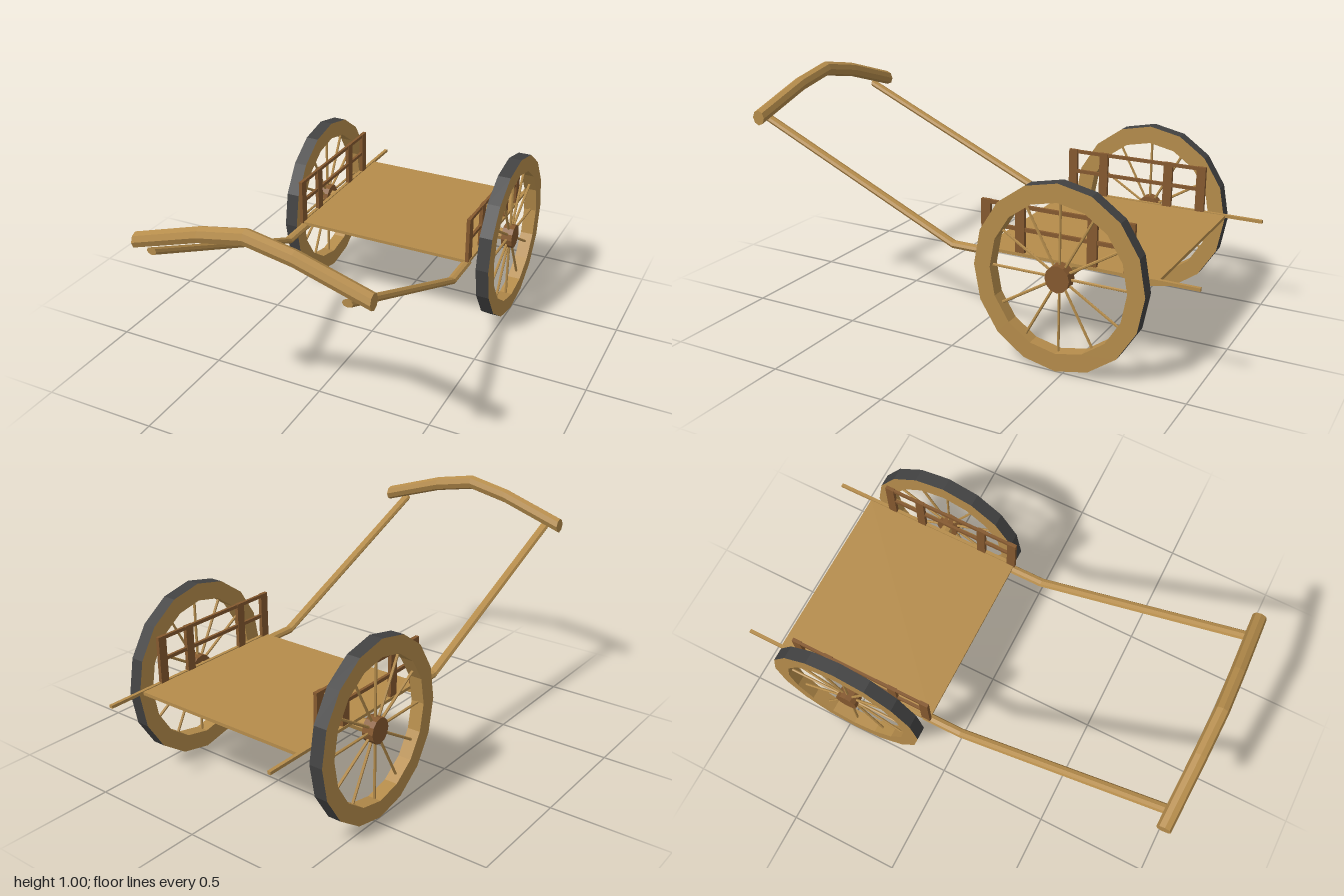
import * as THREE from 'three';

const paint = (color) => new THREE.MeshStandardMaterial({ color, flatShading: true });

export function createModel() {
  const wood = paint(0xb58c4b);
  const darkWood = paint(0x85592f);
  const tyreGrey = paint(0x424242);
  const cart = new THREE.Group();
  cart.name = 'handcart';

  function add(parent, name, geometry, material, x = 0, y = 0, z = 0) {
    const mesh = new THREE.Mesh(geometry, material);
    mesh.name = name;
    mesh.position.set(x, y, z);
    parent.add(mesh);
    return mesh;
  }

  // Pole following a polyline; its cross-sections stay square to the given axis
  function pole(points, axis, rx, rz, sides = 8) {
    const rows = points.length - 1;
    const g = new THREE.CylinderGeometry(1, 1, 1, sides, rows);
    const pos = g.attributes.position;
    const v = new THREE.Vector3();
    for (let i = 0; i < pos.count; i++) {
      v.fromBufferAttribute(pos, i);
      const [px, py, pz] = points[Math.round((v.y + 0.5) * rows)];
      if (axis === 'x') pos.setXYZ(i, px, py - v.x * rx, pz + v.z * rz);
      else pos.setXYZ(i, px + v.x * rx, py - v.z * rz, pz);
    }
    g.computeVertexNormals();
    return g;
  }

  // Ring section turned about the x axis, 16-sided
  function ring(profile) {
    const points = profile.map(([r, x]) => new THREE.Vector2(r, x));
    return new THREE.LatheGeometry(points, 16).rotateZ(-Math.PI / 2);
  }

  // Load bed
  add(cart, 'bed', new THREE.BoxGeometry(0.8, 0.014, 0.74), wood, 0, 0.417, -0.47);

  // Axle
  add(cart, 'axle', pole([[-0.45, 0.383, -0.467], [0.45, 0.383, -0.467]], 'x', 0.028, 0.026), wood);

  // Bowed crossbar joining the shafts
  const bow = [
    [-0.48, 0.838, 0.96], [-0.19, 0.93, 0.964], [0, 0.967, 0.966],
    [0.19, 0.93, 0.964], [0.48, 0.838, 0.96],
  ];
  add(cart, 'crossbar', pole(bow, 'x', 0.033, 0.03), wood);

  for (const side of [-1, 1]) {
    const label = side > 0 ? 'left' : 'right';

    // Pulling shaft
    const path = [[side * 0.395, 0.4, -0.13], [side * 0.395, 0.4, 0.045], [side * 0.395, 0.823, 0.985]];
    add(cart, label + 'Shaft', pole(path, 'z', 0.021, 0.016), wood);

    // Side fence with posts, rails and a bottom bar running out behind the bed
    const fence = new THREE.Group();
    fence.name = label + 'Fence';
    cart.add(fence);
    for (const z of [-0.114, -0.265, -0.571, -0.722]) {
      add(fence, 'post', new THREE.BoxGeometry(0.016, 0.205, 0.04), darkWood, side * 0.406, 0.522, z);
    }
    for (const y of [0.616, 0.523]) {
      add(fence, 'rail', new THREE.BoxGeometry(0.012, 0.015, 0.64), darkWood, side * 0.406, y, -0.418);
    }
    add(fence, 'bottomBar', new THREE.BoxGeometry(0.015, 0.013, 0.9), wood, side * 0.409, 0.42, -0.55);

    // Wheel
    const wheel = new THREE.Group();
    wheel.name = label + 'Wheel';
    wheel.position.set(side * 0.472, 0.383, -0.467);
    wheel.scale.z = 0.935;
    cart.add(wheel);
    const [outer, inner, half] = [0.382, 0.307, 0.029];
    add(wheel, 'rim', ring([[outer, half], [inner, half], [inner, -half], [outer, -half]]), wood);
    add(wheel, 'tyre', ring([[outer, -half], [outer, half]]), tyreGrey);
    add(wheel, 'hub', new THREE.CylinderGeometry(0.055, 0.055, 0.05, 12).rotateZ(Math.PI / 2), darkWood);
    for (let i = 0; i < 12; i++) {
      const spoke = new THREE.CylinderGeometry(0.006, 0.006, 0.28, 6);
      spoke.translate(0, 0.175, 0).rotateX((i * Math.PI) / 6);
      add(wheel, 'spoke', spoke, wood);
    }
  }
  return cart;
}
